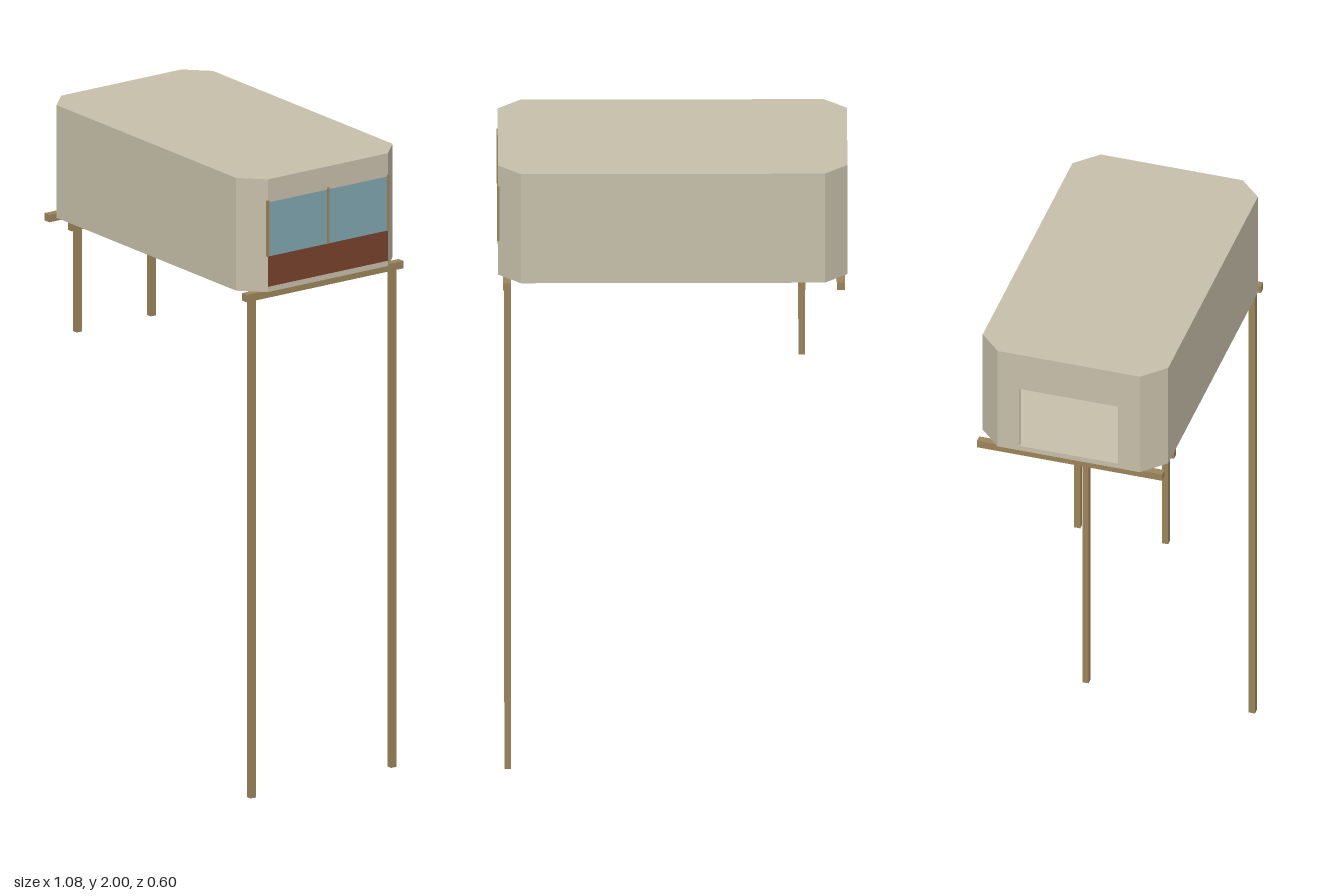
import * as THREE from 'three';

const mat = (name, color) => {
  const m = new THREE.MeshStandardMaterial({ color });
  m.name = name;
  return m;
};

export function createModel() {
  const plaster = mat('plaster', 0xc6bea9);
  const wood = mat('wood', 0x9c8459);
  const glass = mat('glass', 0x7fa4ad);
  const rust = mat('rust panel', 0x77412c);

  const group = new THREE.Group();
  group.name = 'stiltCabin';

  const add = (name, geometry, material) => {
    const mesh = new THREE.Mesh(geometry, material);
    mesh.name = name;
    group.add(mesh);
    return mesh;
  };
  // Box given by its lower and upper limits
  const box = (name, material, [x0, x1], [y0, y1], [z0, z1]) =>
    add(name, new THREE.BoxGeometry(x1 - x0, y1 - y0, z1 - z0), material)
      .position.set((x0 + x1) / 2, (y0 + y1) / 2, (z0 + z1) / 2);
  // Plan outline of [x, z] points raised from y0 to y1
  const slab = (name, material, points, y0, y1) => {
    const shape = new THREE.Shape(points.map(([x, z]) => new THREE.Vector2(x, -z)));
    const geometry = new THREE.ExtrudeGeometry(shape, { depth: y1 - y0, bevelEnabled: false });
    geometry.rotateX(-Math.PI / 2);
    add(name, geometry, material).position.y = y0;
  };
  // Rectangle with cut corners
  const octagon = (x, z, c) => [
    [x, c - z], [x, z - c], [x - c, z], [c - x, z],
    [-x, z - c], [-x, c - z], [c - x, -z], [x - c, -z],
  ];

  const X = 0.54, Z = 0.3, CUT = 0.07, T = 0.012;
  const floorY = 1.635, wallY = 1.652, roofY = 1.99, topY = 2;
  const outer = octagon(X, Z, CUT);
  const inner = octagon(X - T, Z - T, CUT - T * (2 - Math.SQRT2));

  // Cabin floor and roof
  slab('floor', plaster, outer, floorY, wallY);
  slab('roof', plaster, outer, roofY, topY);

  // Long walls and corner panels; the two ends (sides 0 and 4) differ
  for (let i = 0; i < 8; i++) {
    if (i % 4 === 0) continue;
    const j = (i + 1) % 8;
    slab(i % 2 ? 'cornerPanel' : 'longWall', plaster,
      [outer[i], outer[j], inner[j], inner[i]], wallY, roofY);
  }

  // Glazed end, stacked from the bottom up
  const end = Z - CUT, sillY = 1.75, headY = 1.925;
  const bands = [
    ['lowerPanel', rust, wallY, sillY],
    ['window', glass, sillY, headY],
    ['windowHeader', plaster, headY, roofY],
  ];
  for (const [name, material, y0, y1] of bands) {
    box(name, material, [X - T, X], [y0, y1], [-end, end]);
  }
  for (const z of [-0.23, 0, 0.23]) {
    box('mullion', wood, [X - T, X + 0.003], [sillY, 1.932], [z - 0.004, z + 0.004]);
  }

  // Open end with a doorway
  const door = 0.16, doorTop = 1.87;
  for (const s of [-1, 1]) {
    const z = [s * door, s * end].sort((a, b) => a - b);
    box('doorJamb', plaster, [-X, T - X], [wallY, roofY], z);
  }
  box('doorLintel', plaster, [-X, T - X], [doorTop, roofY], [-door, door]);

  // Cross beams under the floor
  const beamY = 1.611;
  for (const [x, w] of [[-0.519, 0.025], [-0.4, 0.02], [0.513, 0.025]]) {
    box('crossBeam', wood, [x - w / 2, x + w / 2], [beamY, floorY], [-Z, Z]);
  }

  // Tall stilts and short posts
  const post = (name, x, z, y0) =>
    box(name, wood, [x - 0.01, x + 0.01], [y0, beamY], [z - 0.01, z + 0.01]);
  for (const z of [-0.267, 0.271]) post('tallStilt', 0.51, z, 0);
  for (const z of [-0.013, 0.271]) post('shortPost', -0.4, z, 1.28);

  return group;
}
